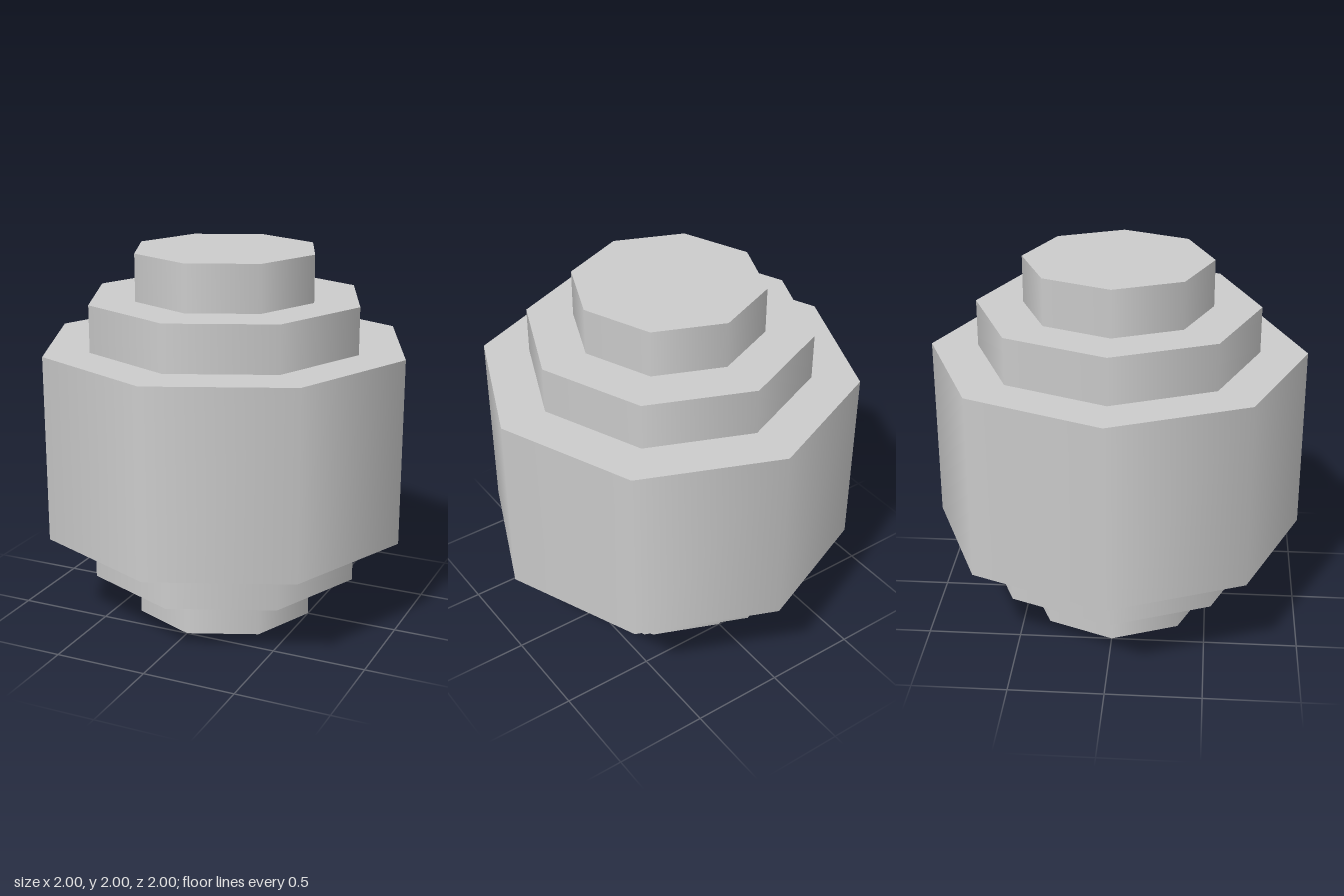
import * as THREE from 'three';

// Three nested eight-sided drums, sharing one centre, with smooth sides.
export function createModel() {
  const group = new THREE.Group();
  const material = new THREE.MeshStandardMaterial({ color: 0xcccccc });
  const drums = [
    { name: 'outerDrum', radius: 1, height: 1 },
    { name: 'middleDrum', radius: 0.75, height: 1.5 },
    { name: 'innerDrum', radius: 0.5, height: 2 },
  ];
  for (const { name, radius, height } of drums) {
    const drum = new THREE.Mesh(new THREE.CylinderGeometry(radius, radius, height, 8), material);
    drum.name = name;
    drum.position.y = 1;
    group.add(drum);
  }
  return group;
}
